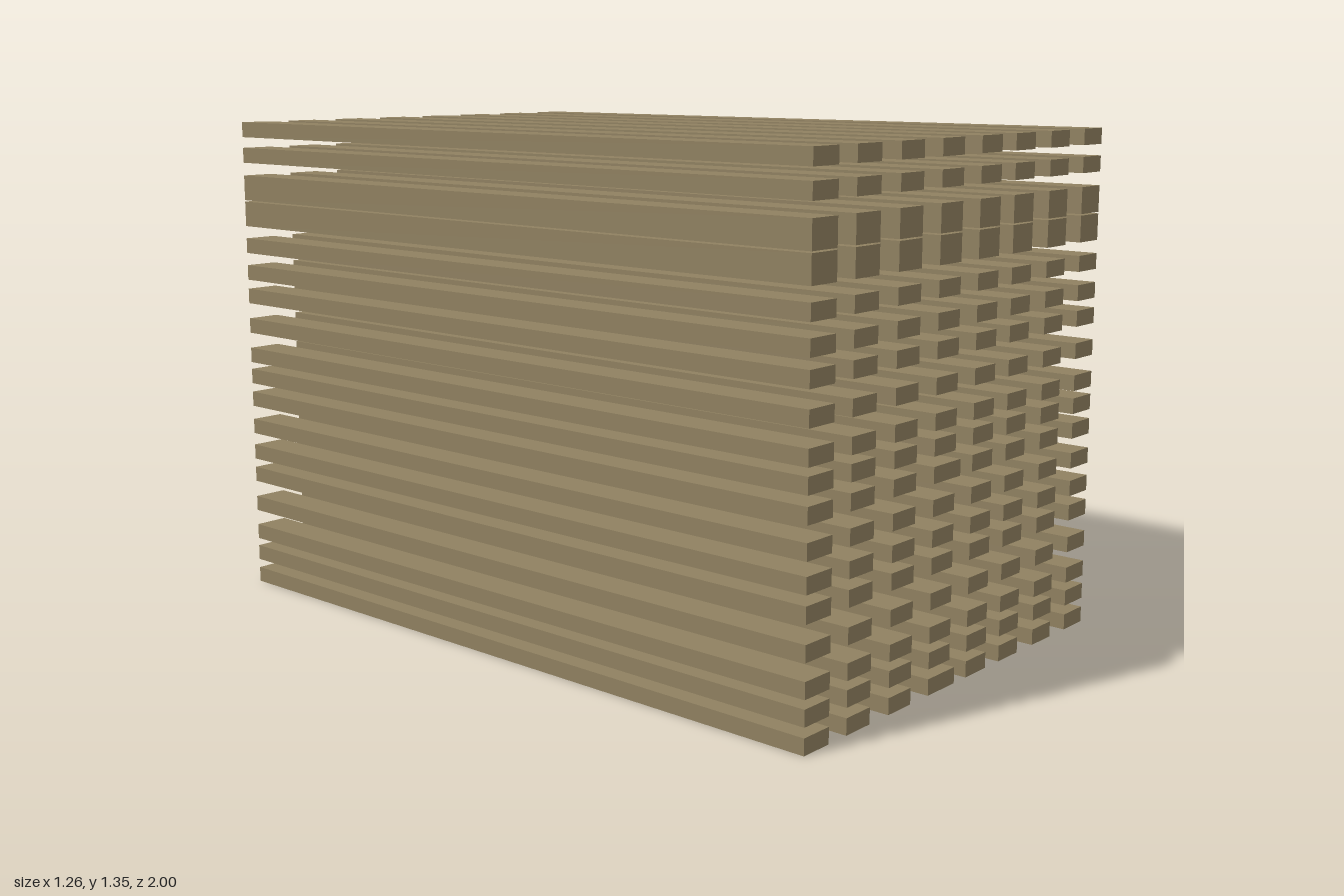
import * as THREE from 'three';

// Stack of long timber boards: eight columns in every layer
const COLUMNS = [-0.586, -0.425, -0.255, -0.085, 0.086, 0.244, 0.415, 0.586];
const BOARD_WIDTH = 0.093;
const BOARD_HEIGHT = 0.042;
const BEAM_HEIGHT = 0.07;
const LENGTH = 2;

// Bottom height of each layer of thin boards, and of the two thick layers
const BOARD_LAYERS = [0, 0.067, 0.131, 0.216, 0.304, 0.371, 0.447, 0.528,
  0.595, 0.657, 0.743, 0.829, 0.897, 0.974, 1.231, 1.303];
const BEAM_LAYERS = [1.051, 1.125];

// Layers where the board in the fourth column is a little wider on its +x side
const WIDE_LAYERS = [0, 0.528];
const WIDE_COLUMN = 3;
const EXTRA_WIDTH = 0.024;

export function createModel() {
  const model = new THREE.Group();
  model.name = 'timberStack';
  const wood = new THREE.MeshStandardMaterial({ color: 0x8f8060, flatShading: true });

  const addLayer = (name, y, height) => {
    const layer = new THREE.Group();
    layer.name = name + 'Layer';
    COLUMNS.forEach((x, i) => {
      const extra = i === WIDE_COLUMN && WIDE_LAYERS.includes(y) ? EXTRA_WIDTH : 0;
      const board = new THREE.Mesh(
        new THREE.BoxGeometry(BOARD_WIDTH + extra, height, LENGTH), wood);
      board.name = name;
      board.position.set(x + extra / 2, y + height / 2, 0);
      layer.add(board);
    });
    model.add(layer);
  };

  BOARD_LAYERS.forEach((y) => addLayer('board', y, BOARD_HEIGHT));
  BEAM_LAYERS.forEach((y) => addLayer('beam', y, BEAM_HEIGHT));
  return model;
}
